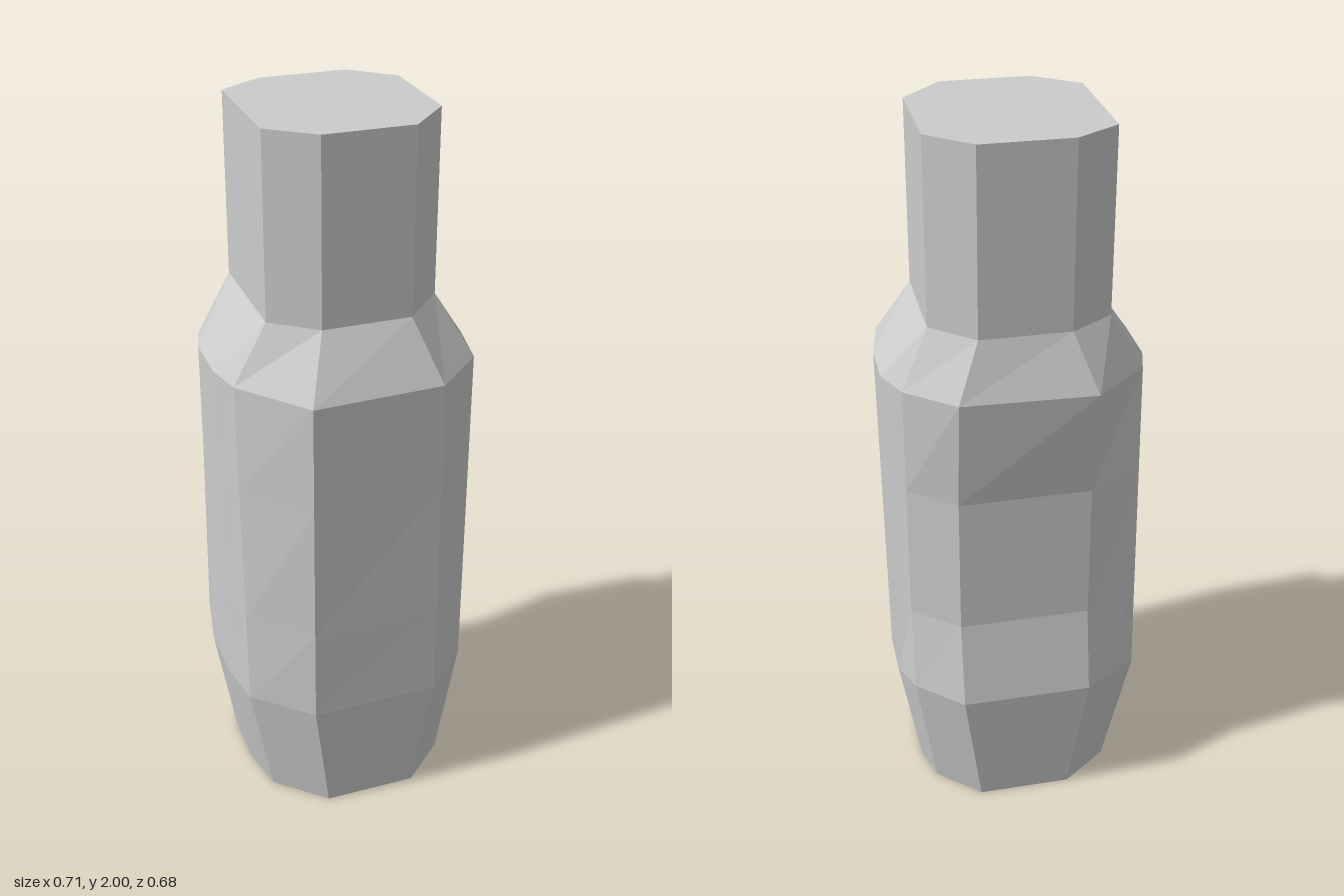
import * as THREE from 'three';

// Each ring lists [x, z] corners, running from the front right corner round by the left side.
const neckCorners = [
  [-0.118, 0.235], [0.125, 0.235], [0.237, 0.115], [0.237, -0.175],
  [0.125, -0.275], [-0.118, -0.275], [-0.237, -0.2], [-0.237, 0.143],
];
const shoulderCorners = [
  [-0.177, 0.338], [0.185, 0.322], [0.325, 0.19], [0.353, 0.04], [0.353, -0.1], [0.31, -0.2],
  [0.185, -0.325], [-0.177, -0.34], [-0.33, -0.2], [-0.355, -0.11], [-0.355, 0.05], [-0.33, 0.152],
];
const hipCorners = [
  [-0.177, 0.338], [0.185, 0.335], [0.322, 0.197], [0.342, 0.04], [0.342, -0.1], [0.308, -0.225],
  [0.185, -0.335], [-0.177, -0.335], [-0.33, -0.245], [-0.355, -0.11], [-0.355, 0.05], [-0.33, 0.2],
];
const footCorners = [
  [-0.13, 0.312], [0.133, 0.312], [0.258, 0.198], [0.28, 0.04], [0.28, -0.09], [0.25, -0.19],
  [0.133, -0.295], [-0.13, -0.295], [-0.262, -0.2], [-0.295, -0.1], [-0.295, 0.05], [-0.265, 0.19],
];

// Lifts corners to 3D; the back may sit at a different height from the front.
const ring = (corners, yFront, yBack = yFront) =>
  corners.map(([x, z]) => new THREE.Vector3(x, z < -0.22 ? yBack : yFront, z));

// Joins rings from bottom to top with flat facets and optional end caps.
function skin(name, rings, capBottom, capTop) {
  const points = [];
  const triangle = (a, b, c) => {
    if (a.equals(b) || b.equals(c) || c.equals(a)) return;
    for (const p of [a, b, c]) points.push(p.x, p.y, p.z);
  };
  for (let r = 0; r < rings.length - 1; r++) {
    const low = rings[r], high = rings[r + 1], n = low.length;
    for (let i = 0; i < n; i++) {
      const j = (i + 1) % n;
      triangle(low[i], low[j], high[j]);
      triangle(low[i], high[j], high[i]);
    }
  }
  const bottom = rings[0], top = rings[rings.length - 1];
  for (let i = 1; i < bottom.length - 1; i++) if (capBottom) triangle(bottom[0], bottom[i + 1], bottom[i]);
  for (let i = 1; i < top.length - 1; i++) if (capTop) triangle(top[0], top[i], top[i + 1]);

  const geometry = new THREE.BufferGeometry();
  geometry.setAttribute('position', new THREE.Float32BufferAttribute(points, 3));
  geometry.computeVertexNormals();
  const mesh = new THREE.Mesh(geometry, new THREE.MeshStandardMaterial({ color: 0xcccccc, flatShading: true }));
  mesh.name = name;
  return mesh;
}

export function createModel() {
  const group = new THREE.Group();
  group.name = 'bottle';

  const foot = ring(footCorners, 0);
  const hip = ring(hipCorners, 0.355, 0.385);
  const shoulder = ring(shoulderCorners, 1.335, 1.345);

  // Grip rings follow the body, but dip inwards at the back.
  const grip = (y) => hip.map((p, i) => {
    const q = p.clone().lerp(shoulder[i], (y - 0.355) / 0.98);
    q.y = y;
    if (i === 5) q.z = -0.19;
    if (i === 6 || i === 7) q.z = -0.292;
    return q;
  });
  group.add(skin('body', [foot, hip, grip(0.63), grip(1.03), shoulder], true, false));

  // The twelve body corners narrow to the eight neck corners.
  const collar = [0, 1, 2, 2, 3, 3, 4, 5, 6, 6, 7, 7].map((i) => neckCorners[i]);
  group.add(skin('shoulder', [shoulder, ring(collar, 1.5)], false, false));
  group.add(skin('neck', [ring(neckCorners, 1.5), ring(neckCorners, 2)], false, true));
  return group;
}
